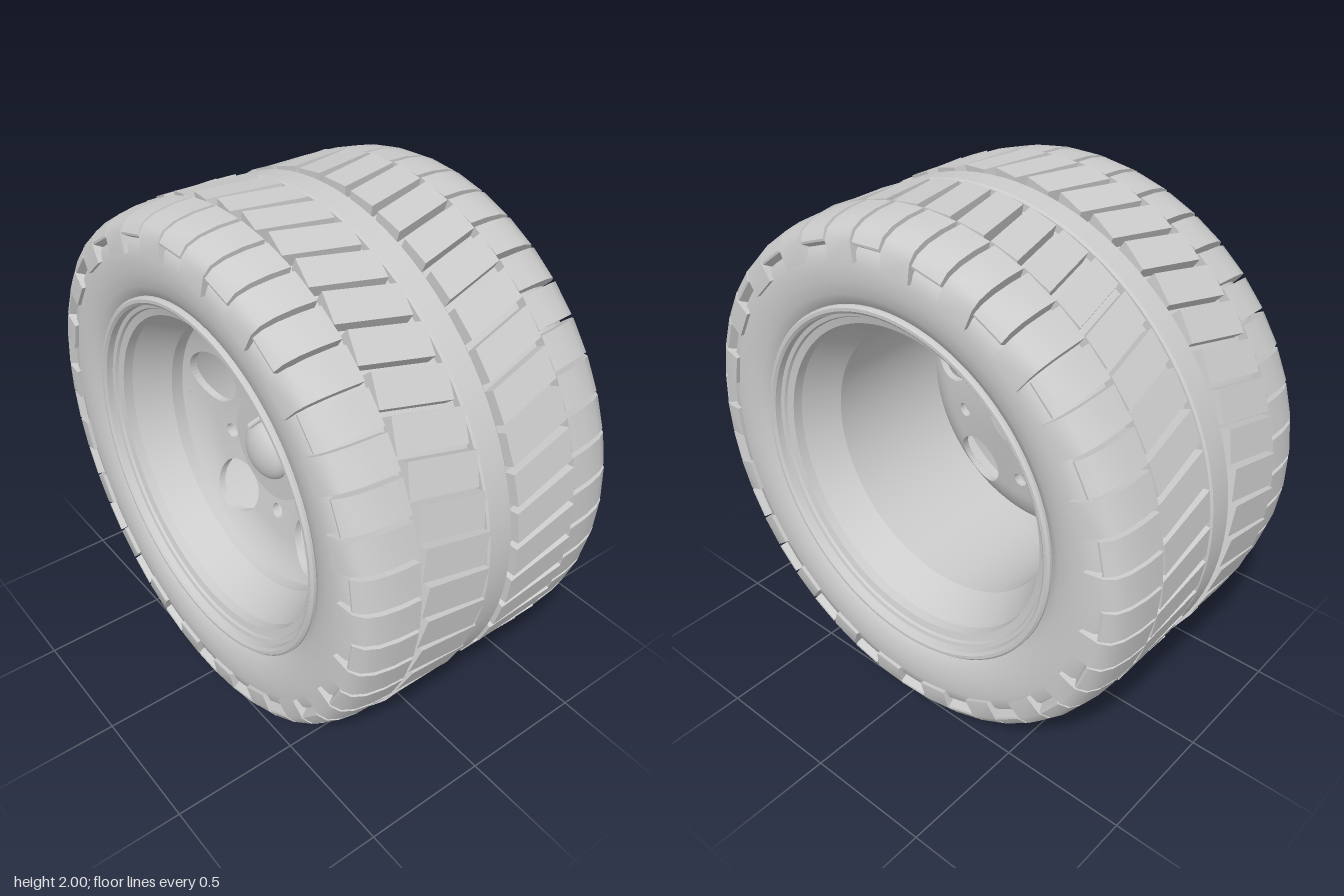
import * as THREE from 'three';
import { mergeGeometries, toCreasedNormals } from 'three/addons/utils/BufferGeometryUtils.js';

const COUNT = 44;                       // tread blocks per row
const PITCH = (Math.PI * 2) / COUNT;
const rad = THREE.MathUtils.degToRad;

// Ring about the x axis from [radius, x] points
function ring(points, crease) {
  const g = new THREE.LatheGeometry(points.map(([r, x]) => new THREE.Vector2(r, x)), 96);
  g.rotateZ(-Math.PI / 2);
  return toCreasedNormals(g, crease);
}
const mirrored = (half) => half.map(([r, x]) => [r, -x]).reverse();

// Tread block: [x, radius] section given a tangential width, slanted by a slope
function block(section, side, width, slope, turned) {
  const shape = new THREE.Shape(section.map(([x, r]) => new THREE.Vector2(x * side, r)));
  const g = new THREE.ExtrudeGeometry(shape, { depth: width, bevelEnabled: false });
  g.translate(0, 0, -width / 2);
  const p = g.attributes.position;
  for (let i = 0; i < p.count; i++) {
    const x = p.getX(i), t = p.getZ(i);
    p.setZ(i, t - slope * (Math.abs(x) - 0.2));
    if (turned) p.setX(i, x + side * slope * t);
  }
  return toCreasedNormals(g, 0.6);
}

// Copies of the blocks around the wheel; start is the angle above the front
function row(blocks, startDeg) {
  const all = [];
  for (let i = 0; i < COUNT; i++) {
    const g = blocks[i % blocks.length].clone();
    all.push(g.rotateX(Math.PI / 2 - rad(startDeg) - i * PITCH));
  }
  return mergeGeometries(all);
}

// Splits every triangle into four, so a flat plate can be bent smoothly
function subdivide(geometry) {
  const p = geometry.attributes.position, out = [];
  for (let i = 0; i < p.count; i += 3) {
    const [a, b, c] = [0, 1, 2].map((k) => new THREE.Vector3().fromBufferAttribute(p, i + k));
    const ab = a.clone().lerp(b, 0.5), bc = b.clone().lerp(c, 0.5), ca = c.clone().lerp(a, 0.5);
    out.push(a, ab, ca, ab, b, bc, ca, bc, c, ab, bc, ca);
  }
  return new THREE.BufferGeometry().setFromPoints(out);
}

// Wheel disc: dished plate with five large holes and five bolt holes
function discGeometry() {
  const shape = new THREE.Shape().absarc(0, 0, 0.538, 0, Math.PI * 2);
  const hole = (x, y, r) => shape.holes.push(new THREE.Path().absarc(x, y, r, 0, Math.PI * 2, true));
  hole(0, 0, 0.115);
  for (let i = 0; i < 5; i++) {
    const a = Math.PI / 2 + (i * Math.PI * 2) / 5;
    hole(0.4 * Math.cos(a), 0.4 * Math.sin(a), 0.111);
    hole(-0.315 * Math.cos(a), -0.315 * Math.sin(a), 0.03);
  }
  const flat = new THREE.ExtrudeGeometry(shape, { depth: 0.03, bevelEnabled: false, curveSegments: 20 });
  const disc = subdivide(subdivide(flat));
  disc.computeVertexNormals();
  const p = disc.attributes.position, n = disc.attributes.normal, v = new THREE.Vector3();
  for (let i = 0; i < p.count; i++) {
    // gentle cone that curls up towards the barrel
    const x = p.getX(i), y = p.getY(i), r = Math.hypot(x, y), e = Math.max(0, r - 0.4);
    p.setZ(i, p.getZ(i) + 0.19 * (r - 0.117) + 2 * e * e);
    const slope = 0.19 + 4 * e, facing = n.getZ(i);
    if (Math.abs(facing) > 0.9) {
      v.set((-slope * x) / r, (-slope * y) / r, 1).normalize().multiplyScalar(Math.sign(facing));
      n.setXYZ(i, v.x, v.y, v.z);
    }
  }
  return disc.rotateY(-Math.PI / 2);
}

export function createModel() {
  const group = new THREE.Group();
  const grey = new THREE.MeshStandardMaterial({ color: 0xcccccc });
  grey.name = 'light grey';
  const add = (name, geometry, x = 0) => {
    const m = new THREE.Mesh(geometry, grey);
    m.name = name;
    m.position.set(x, 1, 0);
    group.add(m);
  };
  const axleCylinder = (r, length) => new THREE.CylinderGeometry(r, r, length, 64).rotateZ(Math.PI / 2);

  // Tyre body with smooth shoulders and side walls
  const body = [
    [0.952, 0.01], [0.952, 0.36], [0.94, 0.45], [0.915, 0.51], [0.885, 0.54], [0.84, 0.552],
    [0.78, 0.55], [0.73, 0.54], [0.69, 0.52], [0.67, 0.49],
  ];
  add('tyreBody', ring([...mirrored(body), ...body], 0.7));

  // Rib around the middle of the tread
  const rib = [[0.988, 0.01], [0.988, 0.046], [0.981, 0.053], [0.945, 0.053]];
  add('centreRib', ring([...mirrored(rib), ...rib], 0.5));

  // Rim: flange, bead seat, tapered mouth and barrel, facing the axle
  const rim = [
    [0.69, 0.51], [0.69, 0.53], [0.682, 0.538], [0.67, 0.538], [0.66, 0.53], [0.656, 0.506],
    [0.641, 0.502], [0.636, 0.492], [0.609, 0.484], [0.605, 0.447], [0.535, 0.31],
  ];
  add('rim', ring([...rim, ...mirrored(rim)], 0.3));

  // Inner, slanted tread rows
  const inner = {
    1: [[0.075, 0.93], [0.075, 0.992], [0.338, 0.992], [0.338, 0.93]],
    [-1]: [[0.068, 0.93], [0.068, 0.997], [0.33, 0.997], [0.33, 0.93]],
  };
  // Shoulder rows alternate long and short blocks
  const shoulder = [[0.342, 0.93], [0.342, 0.99], [0.42, 0.986], [0.49, 0.973], [0.535, 0.952], [0.558, 0.92]];
  const longBlock = [...shoulder, [0.565, 0.848], [0.54, 0.848], [0.52, 0.885], [0.48, 0.915]];
  const shortBlock = [...shoulder, [0.557, 0.912], [0.52, 0.89], [0.48, 0.915]];
  for (const side of [1, -1]) {
    const label = side > 0 ? 'left' : 'right';
    add(label + 'InnerTread', row([block(inner[side], side, 0.113, 0.24, side < 0)], 1));
    add(label + 'ShoulderTread', row(
      [longBlock, shortBlock].map((s) => block(s, side, 0.122, 0.04, false)), side > 0 ? -4.1 : 0));
  }

  // Dished disc, raised hub boss, domed cap and hub back
  add('wheelDisc', discGeometry(), -0.115);
  add('hubBoss', axleCylinder(0.205, 0.082), -0.179);
  add('hubBack', axleCylinder(0.117, 0.06), -0.13);
  const cap = new THREE.SphereGeometry(0.117, 48, 16, 0, Math.PI * 2, 0, Math.PI / 2);
  cap.scale(1, 0.55, 1);
  cap.rotateZ(Math.PI / 2);
  add('hubCap', cap, -0.219);

  // Valve stem standing square on the tapered mouth of the rim
  const valve = new THREE.CylinderGeometry(0.01, 0.01, 0.15, 12);
  valve.rotateZ(rad(-36));
  valve.translate(0, 0.52, 0);
  valve.rotateX(rad(36));
  add('valveStem', valve, -0.43);

  return group;
}
